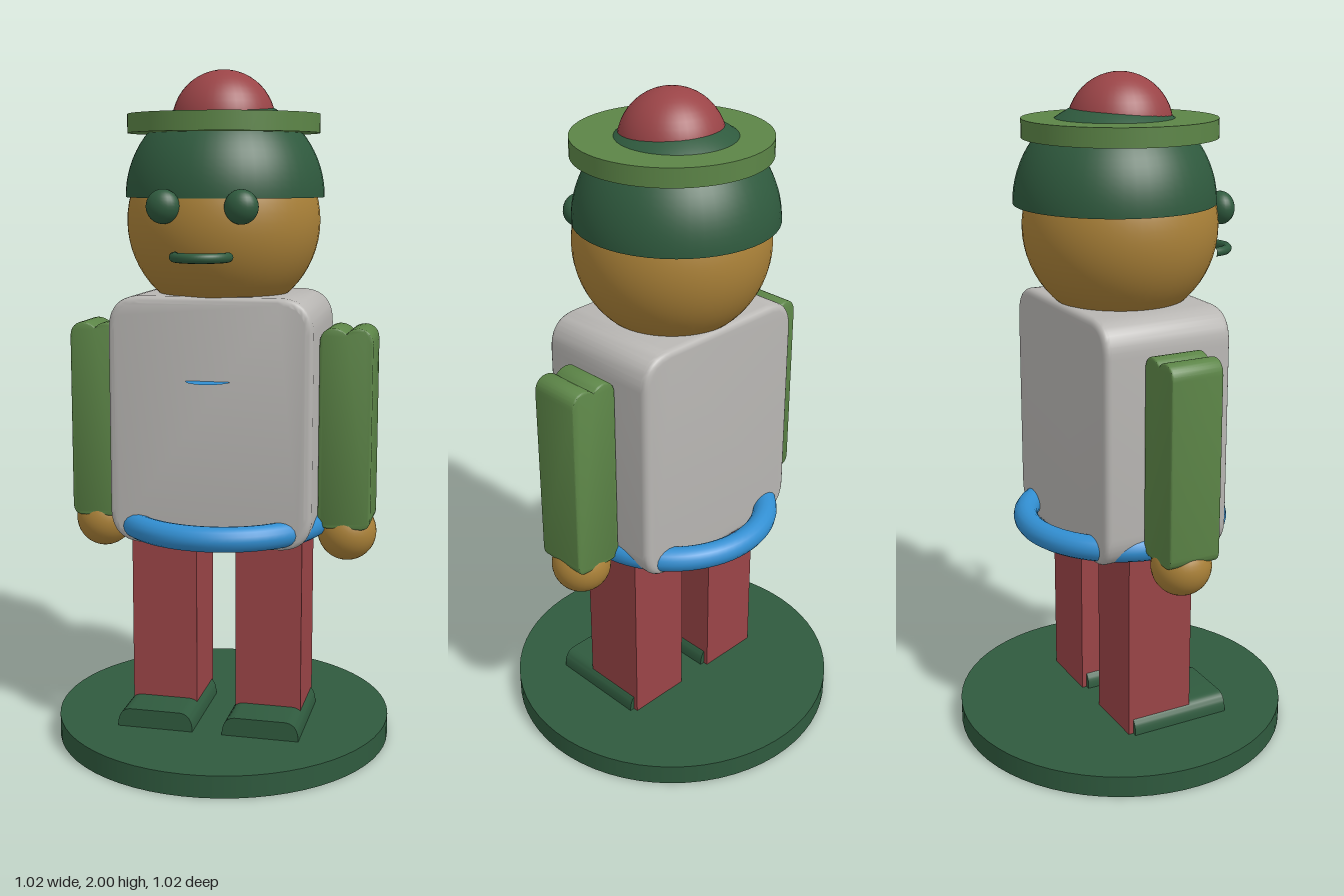
import * as THREE from 'three';
import { toCreasedNormals } from 'three/addons/utils/BufferGeometryUtils.js';

export function createModel() {
  const root = new THREE.Group();
  root.name = 'standingFigure';

  const paint = (name, color) => {
    const m = new THREE.MeshStandardMaterial({ color });
    m.name = name;
    return m;
  };
  const red = paint('red', 0x9a4447);
  const darkGreen = paint('darkGreen', 0x2f5a3e);
  const leafGreen = paint('leafGreen', 0x5c8547);
  const gold = paint('gold', 0xaa8138);
  const blue = paint('blue', 0x328fd2);
  const grey = paint('grey', 0xb8b6b3);

  const add = (name, geometry, material, x = 0, y = 0, z = 0) => {
    const mesh = new THREE.Mesh(geometry, material);
    mesh.name = name;
    mesh.position.set(x, y, z);
    root.add(mesh);
    return mesh;
  };

  // Front profile extruded along z, centred, with a small rounded edge
  const slab = (shape, depth, bevel) => {
    const g = new THREE.ExtrudeGeometry(shape, {
      depth: depth - 2 * bevel, curveSegments: 10, bevelEnabled: bevel > 0,
      bevelSize: bevel, bevelThickness: bevel, bevelOffset: -bevel, bevelSegments: 4,
    });
    g.translate(0, 0, bevel - depth / 2);
    return toCreasedNormals(g, 0.6);
  };

  // Round stand
  add('base', new THREE.CylinderGeometry(0.508, 0.508, 0.066, 64), darkGreen, 0, 0.033, 0);

  // Torso: rounded block
  const w = 0.3, y0 = 0.63, y1 = 1.36, r = 0.1;
  const torso = new THREE.Shape();
  torso.moveTo(-w + r, y0);
  torso.lineTo(w - r, y0);
  torso.quadraticCurveTo(w, y0, w, y0 + r);
  torso.lineTo(w, y1 - r);
  torso.quadraticCurveTo(w, y1, w - r, y1);
  torso.lineTo(-w + r, y1);
  torso.quadraticCurveTo(-w, y1, -w, y1 - r);
  torso.lineTo(-w, y0 + r);
  torso.quadraticCurveTo(-w, y0, -w + r, y0);
  add('torso', slab(torso, 0.4, 0.02), grey);

  // Belt ring and the flat chest tab
  add('belt', new THREE.TorusGeometry(0.29, 0.037, 16, 72).rotateX(Math.PI / 2), blue, 0, 0.68, 0);
  add('chestTab', new THREE.CircleGeometry(0.065, 32).rotateX(-Math.PI / 2), blue, 0, 1.12, 0.2);

  // Arm profile with a double-humped shoulder
  const a = 0.0775;
  const arm = new THREE.Shape();
  arm.moveTo(-a + 0.03, 0.675);
  arm.lineTo(a - 0.03, 0.675);
  arm.quadraticCurveTo(a, 0.675, a, 0.71);
  arm.lineTo(a, 1.225);
  arm.bezierCurveTo(a, 1.272, 0.025, 1.28, 0, 1.252);
  arm.bezierCurveTo(-0.025, 1.28, -a, 1.272, -a, 1.225);
  arm.lineTo(-a, 0.71);
  arm.quadraticCurveTo(-a, 0.675, -a + 0.03, 0.675);
  const armGeometry = slab(arm, 0.16, 0.006);

  // Shoe profile with sloping rounded sides
  const shoe = new THREE.Shape();
  shoe.moveTo(-0.115, 0.066);
  shoe.lineTo(0.115, 0.066);
  shoe.quadraticCurveTo(0.115, 0.12, 0.075, 0.122);
  shoe.lineTo(-0.075, 0.122);
  shoe.quadraticCurveTo(-0.115, 0.12, -0.115, 0.066);
  const shoeGeometry = slab(shoe, 0.315, 0);

  // Paired parts
  for (const [side, s] of [['left', 1], ['right', -1]]) {
    add(side + 'Leg', new THREE.BoxGeometry(0.2, 0.59, 0.21), red, s * 0.16, 0.361, 0);
    add(side + 'Shoe', shoeGeometry, darkGreen, s * 0.16, 0, 0.0675);
    add(side + 'Arm', armGeometry, leafGreen, s * 0.378, 0, 0);
    add(side + 'Hand', new THREE.SphereGeometry(0.088, 32, 20), gold, s * 0.378, 0.653, 0);
    add(side + 'Eye', new THREE.SphereGeometry(0.048, 24, 16), darkGreen, s * 0.111, 1.615, 0.269)
      .scale.z = 0.8;
  }

  // Head and mouth
  add('head', new THREE.SphereGeometry(0.283, 48, 32), gold, 0, 1.568, 0);
  add('mouth', new THREE.TorusGeometry(0.076, 0.014, 12, 32, Math.PI).rotateX(Math.PI / 2),
    darkGreen, 0, 1.478, 0.275);

  // Cap: open dome, flat brim and pompom
  const domeMaterial = darkGreen.clone();
  domeMaterial.side = THREE.DoubleSide;
  domeMaterial.name = 'darkGreenDome';
  add('capDome', new THREE.SphereGeometry(0.292, 48, 20, 0, Math.PI * 2, 0, Math.PI / 2),
    domeMaterial, 0, 1.637, -0.017);
  add('capBrim', new THREE.CylinderGeometry(0.28, 0.28, 0.054, 64), leafGreen, 0, 1.847, 0);
  add('capPompom', new THREE.SphereGeometry(0.151, 40, 24), red, 0, 1.849, 0);

  return root;
}
